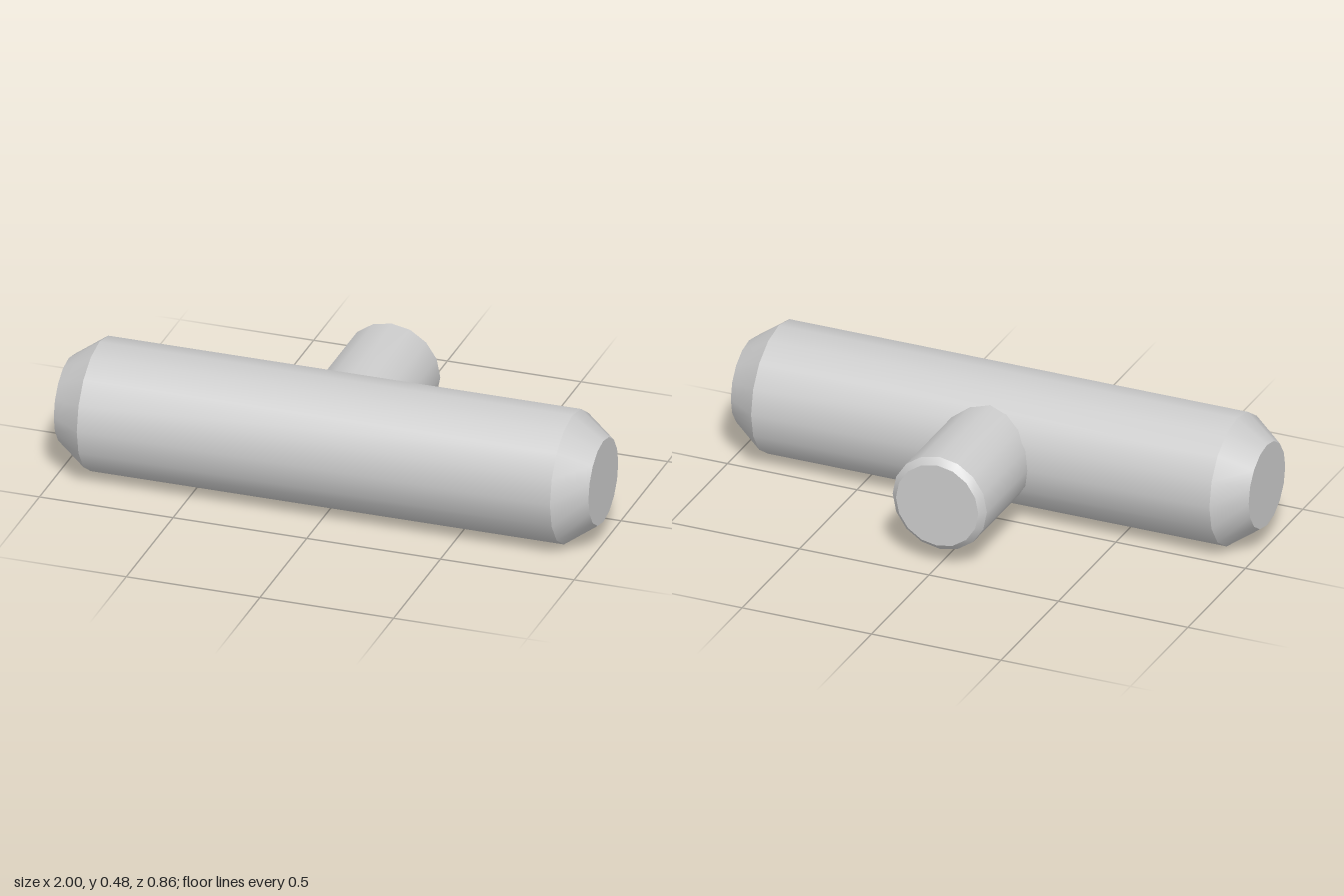
import * as THREE from 'three';
import { toCreasedNormals } from 'three/addons/utils/BufferGeometryUtils.js';

const SIDES = 16;
const AXIS_Y = 0.242;
const AXIS_Z = 0.188;

// Closed turned rod along +y from [radius, height] pairs; smooth sides, sharp chamfer edges
function rod(profile) {
  const points = profile.map(([r, h]) => new THREE.Vector2(r, h));
  return toCreasedNormals(new THREE.LatheGeometry(points, SIDES), 0.5);
}

export function createModel() {
  const group = new THREE.Group();
  const material = new THREE.MeshStandardMaterial({ color: 0xcccccc });

  function add(name, geometry) {
    const mesh = new THREE.Mesh(geometry, material);
    mesh.name = name;
    mesh.position.set(0, AXIS_Y, AXIS_Z);
    group.add(mesh);
  }

  // Long horizontal bar with chamfered ends
  add('mainBar', rod([
    [0, -1], [0.159, -1], [0.242, -0.885],
    [0.242, 0.885], [0.159, 1], [0, 1],
  ]).rotateZ(-Math.PI / 2));

  // Short stub leaving the back of the bar, starting inside it
  add('rearStub', rod([
    [0, 0], [0.182, 0], [0.182, 0.594], [0.159, 0.617], [0, 0.617],
  ]).rotateX(-Math.PI / 2));

  return group;
}
